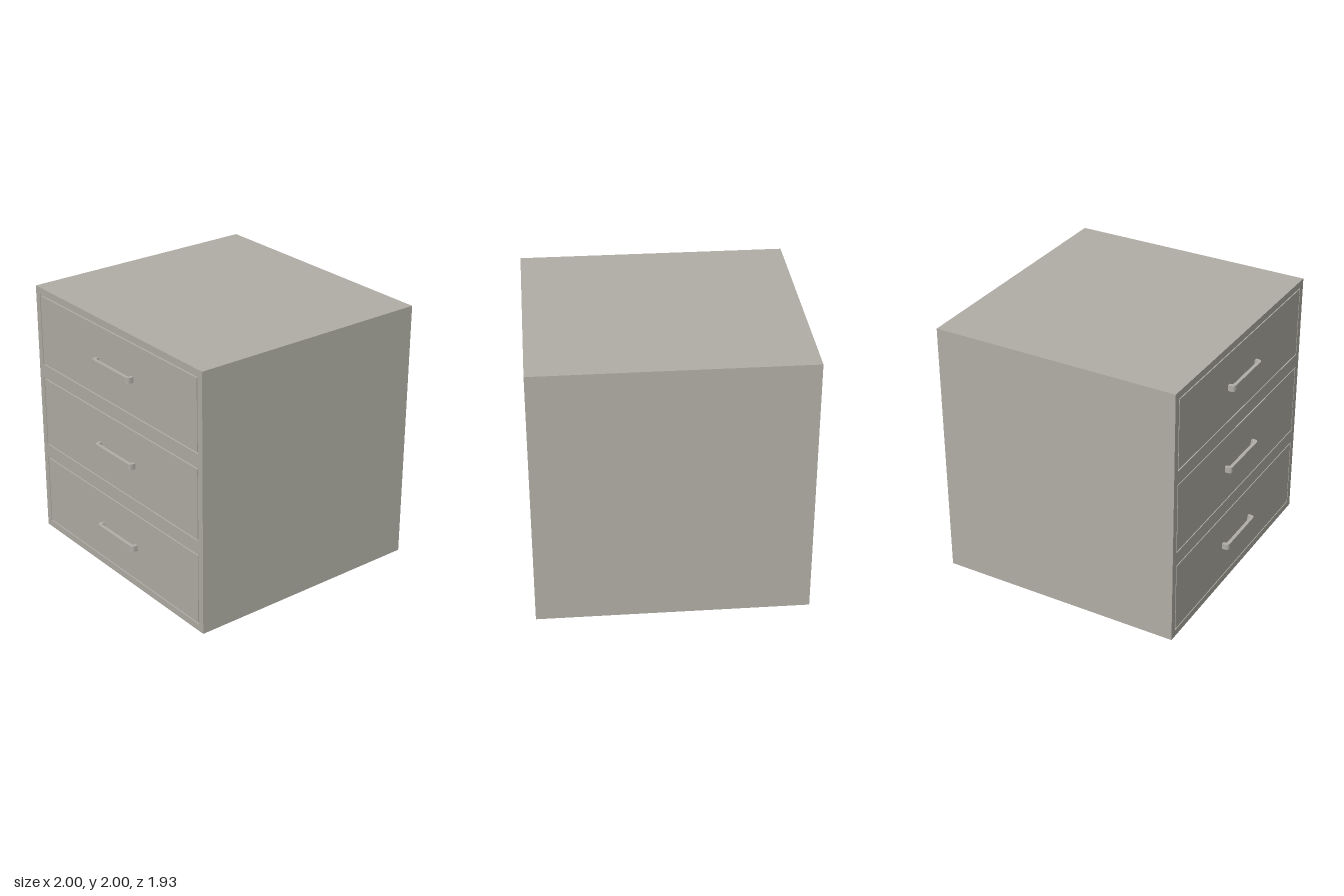
import * as THREE from 'three';

const FRONT = 0.917, BACK = -0.967, FRAME = 0.1;

// Adds a rectangle outline centred on x = 0
function rect(path, halfW, y0, y1) {
  path.moveTo(-halfW, y0);
  path.lineTo(halfW, y0);
  path.lineTo(halfW, y1);
  path.lineTo(-halfW, y1);
  path.closePath();
  return path;
}

// Bracket pull: flat bar with rounded corners and two short legs, seen from above
function handleGeometry() {
  const w = 0.224, d = 0.05, t = 0.026, r = 0.03, ri = 0.014;
  const s = new THREE.Shape();
  s.moveTo(-w, -0.005);
  s.lineTo(-w + t, -0.005);
  s.lineTo(-w + t, d - t - ri);
  s.quadraticCurveTo(-w + t, d - t, -w + t + ri, d - t);
  s.lineTo(w - t - ri, d - t);
  s.quadraticCurveTo(w - t, d - t, w - t, d - t - ri);
  s.lineTo(w - t, -0.005);
  s.lineTo(w, -0.005);
  s.lineTo(w, d - r);
  s.quadraticCurveTo(w, d, w - r, d);
  s.lineTo(-w + r, d);
  s.quadraticCurveTo(-w, d, -w, d - r);
  s.closePath();
  const h = 0.045;
  const g = new THREE.ExtrudeGeometry(s, { depth: h, bevelEnabled: false, curveSegments: 4 });
  return g.rotateX(Math.PI / 2).translate(0, h / 2, 0);
}

export function createModel() {
  const group = new THREE.Group();
  const paint = new THREE.MeshStandardMaterial({ color: 0xb0aea5 });
  paint.name = 'warm grey paint';

  const add = (geometry, name, x, y, z) => {
    const mesh = new THREE.Mesh(geometry, paint);
    mesh.name = name;
    mesh.position.set(x, y, z);
    group.add(mesh);
  };

  // Cabinet: solid carcass, then a front frame with one opening per drawer
  const centres = [1 / 3, 1, 5 / 3];
  const depth = FRONT - FRAME - BACK;
  add(new THREE.BoxGeometry(2, 2, depth), 'carcass', 0, 1, BACK + depth / 2);

  const frame = rect(new THREE.Shape(), 1, 0, 2);
  for (const y of centres) frame.holes.push(rect(new THREE.Path(), 0.95, y - 0.28, y + 0.28));
  add(new THREE.ExtrudeGeometry(frame, { depth: FRAME, bevelEnabled: false }),
    'frontFrame', 0, 0, FRONT - FRAME);

  // Flush drawers with a narrow gap all round, each with a handle
  const drawer = new THREE.BoxGeometry(1.884, 0.54, FRAME);
  const handle = handleGeometry();
  centres.forEach((y, i) => {
    add(drawer, `drawerFront${i + 1}`, 0, y, FRONT - FRAME / 2);
    add(handle, `handle${i + 1}`, 0, y + 0.003, FRONT);
  });
  return group;
}
